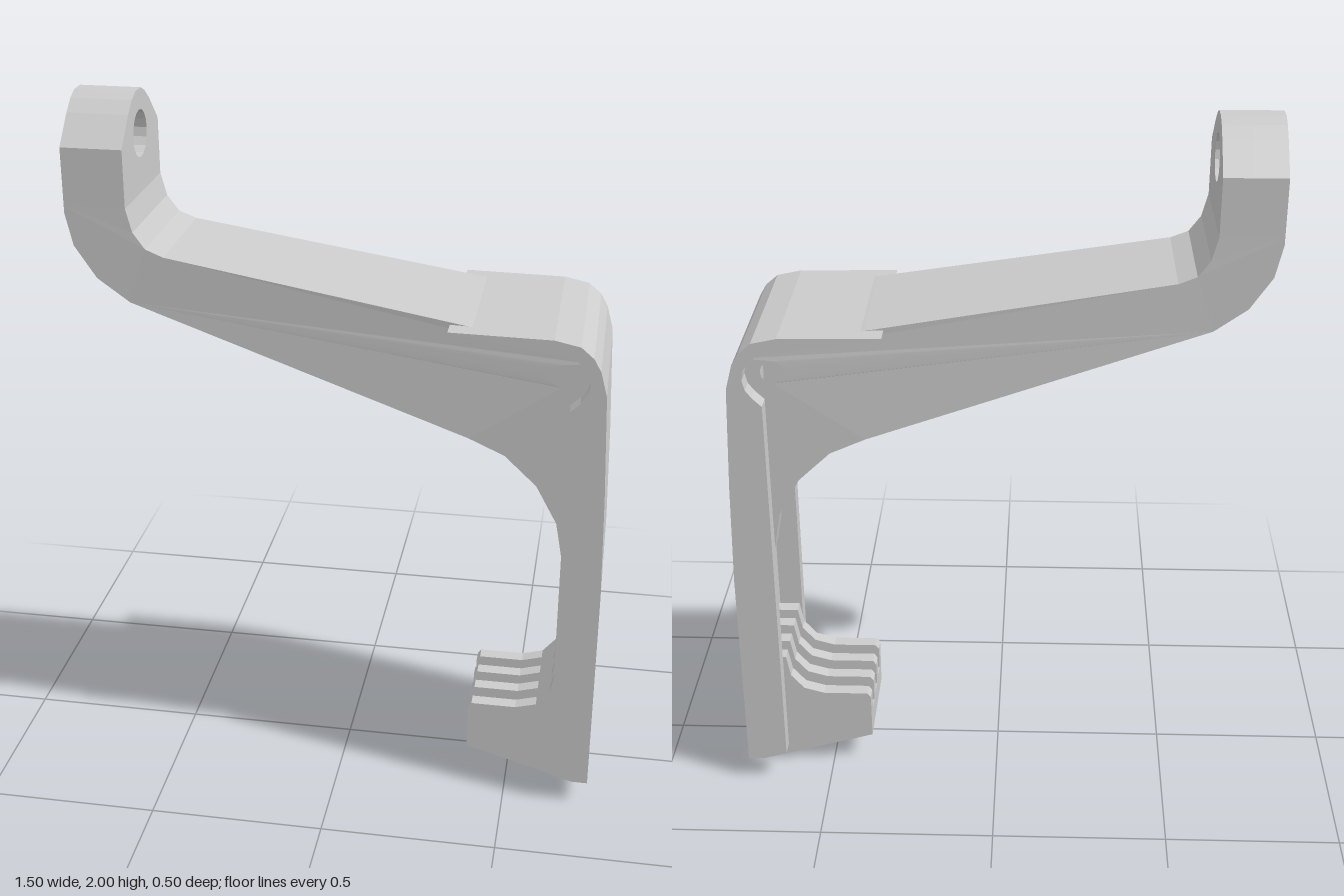
import * as THREE from 'three';

const material = new THREE.MeshStandardMaterial({ color: 0xcccccc, flatShading: true });

const outline = (points) => new THREE.Shape(points.map(([x, y]) => new THREE.Vector2(x, y)));

function addHole(shape, x, y, r) {
  const hole = new THREE.Path();
  hole.absarc(x, y, r, 0, Math.PI * 2, true);
  shape.holes.push(hole);
}

// Extrude a side profile (x, y) between two depths
function slab(shape, z0, z1) {
  const g = new THREE.ExtrudeGeometry(shape, { depth: z1 - z0, bevelEnabled: false, curveSegments: 8 });
  return g.translate(0, 0, z0);
}

// The arm narrows towards the head
function taper(g) {
  const p = g.attributes.position;
  for (let i = 0; i < p.count; i++) {
    const t = THREE.MathUtils.clamp((p.getX(i) + 0.58) / 0.93, 0, 1);
    p.setZ(i, p.getZ(i) * THREE.MathUtils.lerp(0.88, 1, t));
  }
  g.computeVertexNormals();
  return g;
}

export function createModel() {
  const model = new THREE.Group();
  const add = (name, geometry) => {
    const mesh = new THREE.Mesh(geometry, material);
    mesh.name = name;
    model.add(mesh);
  };
  const addPair = (name, shape, z0, z1, rule = (g) => g) => {
    add(name + 'Left', rule(slab(shape, z0, z1)));
    add(name + 'Right', rule(slab(shape, -z1, -z0)));
  };

  // Side walls of the channel-shaped arm, with the pivot hole
  const wall = outline([
    [-0.58, 1.72], [-0.563, 1.655], [-0.53, 1.61], [-0.48, 1.59], [0.35, 1.455],
    [0.6, 1.412], [0.645, 1.405], [0.69, 1.37], [0.70, 1.3], [0.70, 0.78], [0.63, 0.78],
    [0.61, 0.89], [0.55, 1.0], [0.46, 1.085], [0.36, 1.13], [-0.58, 1.455],
    [-0.67, 1.52], [-0.73, 1.61], [-0.75, 1.7], [-0.75, 1.72],
  ]);
  addHole(wall, 0.605, 1.33, 0.033);
  addPair('armWall', wall, 0.14, 0.2, taper);

  // Web along the top of the arm, between the walls
  const web = outline([
    [-0.58, 1.72], [-0.563, 1.655], [-0.53, 1.61], [-0.48, 1.59], [0.35, 1.455], [0.64, 1.406],
    [0.64, 1.375], [0.35, 1.405], [-0.51, 1.53], [-0.59, 1.565], [-0.635, 1.63], [-0.66, 1.72],
  ]);
  add('armWeb', taper(slab(web, -0.15, 0.15)));

  // Mounting head: front plate, and back plate with an arched recess
  const w = 0.176;
  const top = [[w, 1.88], [0.1, 1.955], [0.06, 1.985], [0.025, 2], [-0.025, 2], [-0.06, 1.985], [-0.1, 1.955], [-w, 1.88]];
  const arch = [];
  for (let i = 0; i <= 8; i++) {
    const a = Math.PI * (1 - i / 8);
    arch.push([0.123 * Math.cos(a), 1.72 + 0.06 * Math.sin(a)]);
  }
  const headPart = (name, bottom, x0, x1) => {
    const shape = outline([...top, [-w, 1.72], ...bottom, [w, 1.72]]);
    addHole(shape, 0, 1.88, 0.065);
    const g = slab(shape, 0, x1 - x0);
    g.rotateY(Math.PI / 2).translate(x0, 0, 0);
    add(name, g);
  };
  headPart('headFront', [], -0.66, -0.58);
  headPart('headBack', arch, -0.75, -0.66);

  // Leg cover: curved outer plate folded over the top of the arm
  const outer = [
    [0.7, 0.07], [0.745, 0.07], [0.745, 0.7], [0.737, 1.0], [0.724, 1.3],
    [0.705, 1.37], [0.685, 1.405], [0.65, 1.435], [0.58, 1.45], [0.3, 1.454],
  ];
  const plate = outline([
    ...outer, [0.35, 1.445], [0.6, 1.405], [0.645, 1.39], [0.675, 1.35], [0.688, 1.28], [0.7, 0.9],
  ]);
  add('legPlate', slab(plate, -0.2, 0.2));

  // Rims down both sides of the cover, curving around the pivot boss
  const boss = [];
  for (let i = 0; i <= 7; i++) {
    const a = THREE.MathUtils.degToRad(85 - i * 22);
    boss.push([0.605 + 0.075 * Math.cos(a), 1.33 + 0.075 * Math.sin(a)]);
  }
  const rim = outline([...outer, ...boss.slice(0, 7), [0.63, 1.25], [0.63, 0.09]]);
  addPair('legRim', rim, 0.2, 0.25);

  // Sloping foot at the bottom of the leg
  const foot = outline([[0.38, 0.09], [0.69, 0], [0.69, 0.07], [0.71, 0.075], [0.71, 0.13], [0.63, 0.13], [0.38, 0.16]]);
  add('foot', slab(foot, -0.148, 0.148));

  // Hooked ribs standing on the foot
  const rib = outline([
    [0.38, 0.14], [0.63, 0.08], [0.71, 0.08], [0.71, 0.37], [0.63, 0.37], [0.618, 0.305],
    [0.58, 0.26], [0.52, 0.243], [0.39, 0.243], [0.38, 0.23],
  ]);
  [-0.13, -0.043, 0.043, 0.13].forEach((z, i) => add('footRib' + (i + 1), slab(rib, z - 0.02, z + 0.02)));

  return model;
}
